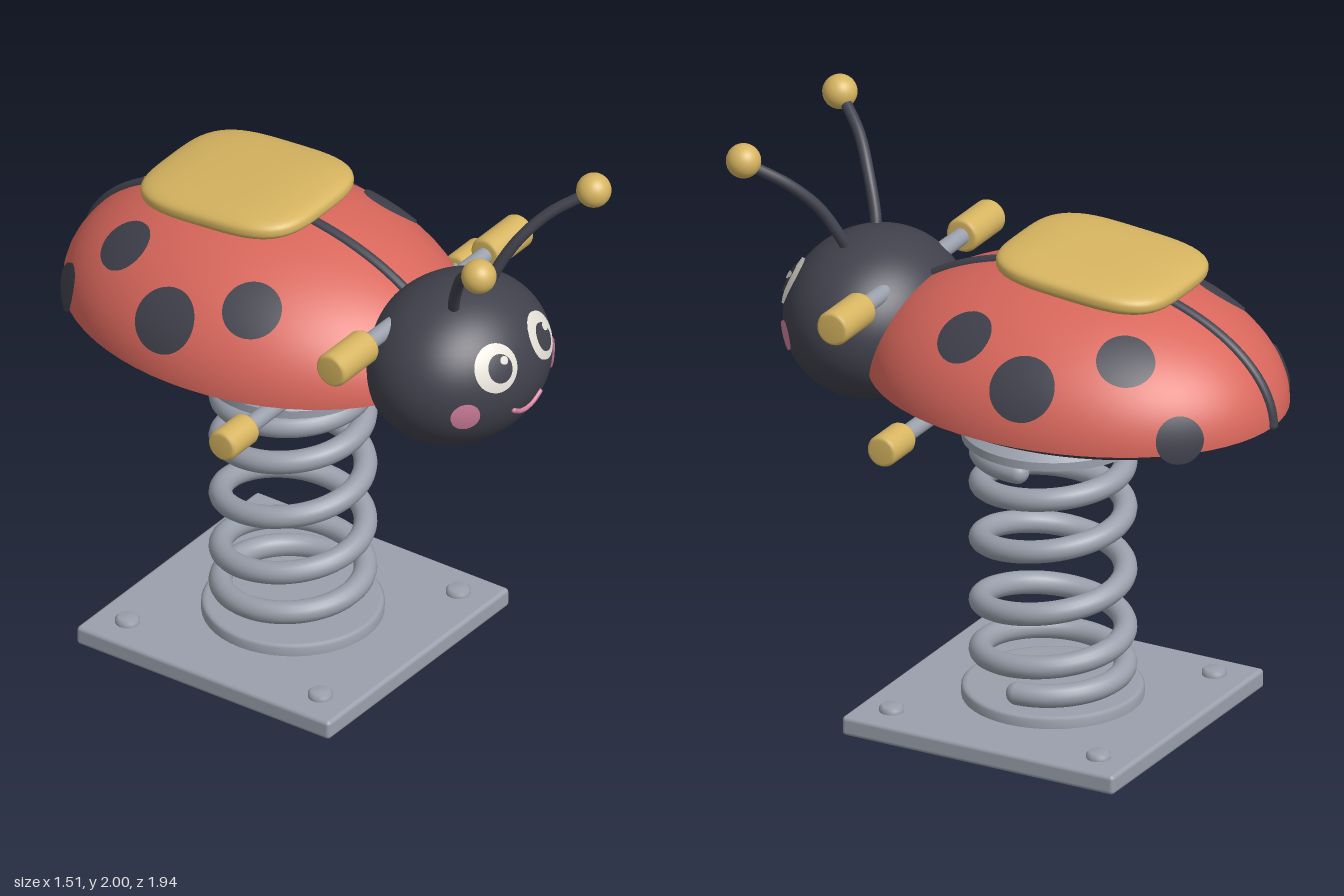
import * as THREE from 'three';
import { RoundedBoxGeometry } from 'three/addons/geometries/RoundedBoxGeometry.js';

const V = (x, y, z) => new THREE.Vector3(x, y, z);
const HEAD = { c: V(0, 1.33, 0.585), r: V(0.355, 0.29, 0.3) };
const SHELL = { c: V(0, 1.23, -0.2), r: V(0.58, 0.43, 0.75) };
const BELLY = { c: V(0, 1.23, -0.2), r: V(0.53, 0.125, 0.71) };

function material(name, color, side = THREE.FrontSide) {
  const m = new THREE.MeshStandardMaterial({ color, side });
  m.name = name;
  return m;
}

// Point on an ellipsoid above a given x and y (front side), or beside a given y and z
const frontPoint = (e, x, y) => V(x, y, e.c.z + e.r.z *
  Math.sqrt(1 - ((x - e.c.x) / e.r.x) ** 2 - ((y - e.c.y) / e.r.y) ** 2));
const sidePoint = (e, side, y, z) => V(side * e.r.x *
  Math.sqrt(1 - ((y - e.c.y) / e.r.y) ** 2 - ((z - e.c.z) / e.r.z) ** 2), y, z);

const normalAt = (e, p) => p.clone().sub(e.c).divide(e.r).divide(e.r).normalize();

// Thin round plate that hugs an ellipsoid
function patch(e, p, rx, ry, lift = 0.007) {
  const n = normalAt(e, p);
  const t = V(0, 1, 0).cross(n).normalize();
  const b = n.clone().cross(t);
  const geo = new THREE.RingGeometry(0.0005, 1, 40, 4);
  const pos = geo.attributes.position;
  for (let i = 0; i < pos.count; i++) {
    const u = pos.getX(i), v = pos.getY(i), f = Math.hypot(u, v);
    const rim = f > 0.99;
    const k = rim ? 1 : 0.97 / 0.75;
    const q = p.clone().addScaledVector(t, u * k * rx).addScaledVector(b, v * k * ry).sub(e.c);
    q.divideScalar(q.clone().divide(e.r).length()).add(e.c);
    const qn = normalAt(e, q);
    q.addScaledVector(qn, rim ? lift - 0.009 : lift);
    pos.setXYZ(i, q.x, q.y, q.z);
    geo.attributes.normal.setXYZ(i, qn.x, qn.y, qn.z);
  }
  return geo;
}

const ellipsoid = (e, start = 0, length = Math.PI) =>
  new THREE.SphereGeometry(1, 64, 40, 0, Math.PI * 2, start, length)
    .scale(e.r.x, e.r.y, e.r.z).translate(e.c.x, e.c.y, e.c.z);

const tube = (points, r, segments = 40) =>
  new THREE.TubeGeometry(new THREE.CatmullRomCurve3(points), segments, r, 14);

const lathe = (pts) => new THREE.LatheGeometry(pts.map(([x, y]) => new THREE.Vector2(x, y)), 48);

// Rounded grip lying along x
function gripGeometry(x0, x1, r) {
  const h = (x1 - x0) / 2, b = 0.014;
  return lathe([[0, -h], [r - b, -h], [r - b * 0.3, -h + b * 0.3], [r, -h + b],
    [r, h - b], [r - b * 0.3, h - b * 0.3], [r - b, h], [0, h]])
    .rotateZ(-Math.PI / 2).translate((x0 + x1) / 2, 0, 0);
}

// Cushion: a sphere squared off into a soft slab
function cushionGeometry(a, h, c) {
  const geo = new THREE.SphereGeometry(1, 72, 40);
  const pos = geo.attributes.position;
  const n = 3.6, m = 2.8;
  for (let i = 0; i < pos.count; i++) {
    const x = pos.getX(i), y = pos.getY(i), z = pos.getZ(i);
    const flat = (Math.abs(x) ** n + Math.abs(z) ** n) ** (1 / n);
    const k = 1 / (flat ** m + Math.abs(y) ** m) ** (1 / m);
    pos.setXYZ(i, x * k * a, y * k * h, z * k * c);
  }
  geo.computeVertexNormals();
  return geo;
}

// Coil wound closer at both ends
class Coil extends THREE.Curve {
  getPoint(t, target = new THREE.Vector3()) {
    const s = 2 * t - 1, a = t * 5 * Math.PI * 2;
    const y = 0.5675 + 0.4075 * (0.25 * s + 0.75 * Math.sin(s * Math.PI / 2));
    return target.set(0.245 * Math.cos(a), y, -0.1 - 0.245 * Math.sin(a));
  }
}

export function createModel() {
  const model = new THREE.Group();
  model.name = 'springRider';
  const red = material('shell red', 0xd9675c);
  const dark = material('charcoal', 0x41414d, THREE.DoubleSide);
  const yellow = material('mustard yellow', 0xd6b460);
  const grey = material('steel grey', 0x9aa0ac);
  const white = material('eye white', 0xe6e2d8);
  const pink = material('cheek pink', 0xd07f9c);

  const add = (name, geo, mat, x = 0, y = 0, z = 0) => {
    const mesh = new THREE.Mesh(geo, mat);
    mesh.name = name;
    mesh.position.set(x, y, z);
    model.add(mesh);
    return mesh;
  };

  // Base plate with bolts and collar
  add('basePlate', new RoundedBoxGeometry(1.05, 0.07, 1.05, 3, 0.015), grey, 0, 0.035, -0.1);
  for (const x of [-0.4, 0.4]) for (const z of [-0.5, 0.3]) {
    add('bolt', lathe([[0.042, 0], [0.042, 0.014], [0.032, 0.023], [0, 0.024]]), grey, x, 0.07, z);
  }
  add('lowerCollar', lathe([[0.31, 0], [0.31, 0.03], [0.302, 0.038], [0.29, 0.04], [0, 0.04]]),
    grey, 0, 0.07, -0.1);

  // Spring with rounded ends, and the mount above it
  const coil = new Coil();
  add('spring', new THREE.TubeGeometry(coil, 320, 0.04, 16), grey);
  for (const t of [0, 1]) {
    const p = coil.getPoint(t);
    add('springEnd', new THREE.SphereGeometry(0.04, 16, 12), grey, p.x, p.y, p.z);
  }
  add('upperMountSide', new THREE.CylinderGeometry(0.31, 0.31, 0.03, 48), grey, 0, 1.035, -0.1);
  add('upperMountCone', new THREE.CylinderGeometry(0.21, 0.31, 0.08, 48), grey, 0, 1.09, -0.1);

  // Body
  add('shell', ellipsoid(SHELL, 0, Math.PI / 2), red);
  add('shellUnderside', new THREE.CircleGeometry(1, 64).rotateX(Math.PI / 2)
    .scale(SHELL.r.x, 1, SHELL.r.z), red, 0, SHELL.c.y, SHELL.c.z);
  add('belly', ellipsoid(BELLY, Math.PI / 2, Math.PI / 2), dark);

  // Seam along the back
  const seam = [];
  for (let i = 0; i <= 24; i++) {
    const a = 0.6 + (Math.PI - 0.62) * i / 24;
    seam.push(V(0, SHELL.c.y + 0.426 * Math.sin(a), SHELL.c.z + 0.748 * Math.cos(a)));
  }
  add('seam', tube(seam, 0.02, 64), dark);
  add('seamEnd', new THREE.SphereGeometry(0.02, 14, 10), dark, ...seam[24].toArray());

  // Seat
  const seat = add('seat', cushionGeometry(0.283, 0.057, 0.33), yellow, 0, 1.69, -0.29);
  seat.rotation.x = -0.08;

  // Head
  add('head', ellipsoid(HEAD), dark);
  const smile = [-0.075, -0.04, 0, 0.04, 0.075].map((x) =>
    frontPoint(HEAD, x, 1.227 + 5 * x * x).add(V(0, 0, 0.003)));
  add('mouth', tube(smile, 0.009), pink);
  for (const p of [smile[0], smile[4]]) {
    add('mouthCorner', new THREE.SphereGeometry(0.009, 12, 8), pink, p.x, p.y, p.z);
  }

  const spots = [[1.51, 0.02, 0.105], [1.42, -0.267, 0.12], [1.515, -0.567, 0.102], [1.278, -0.79, 0.085]];
  for (const s of [-1, 1]) {
    // Shell spots
    for (const [y, z, r] of spots) {
      add('spot', patch(SHELL, sidePoint(SHELL, s, y, z), r, r), dark);
    }

    // Face
    add('eyeWhite', patch(HEAD, frontPoint(HEAD, s * 0.132, 1.44), 0.085, 0.089, 0.008), white);
    add('pupil', patch(HEAD, frontPoint(HEAD, s * 0.123, 1.437), 0.046, 0.05, 0.014), dark);
    add('eyeGlint', patch(HEAD, frontPoint(HEAD, s * 0.123 + 0.02, 1.458), 0.014, 0.014, 0.019), white);
    add('cheek', patch(HEAD, frontPoint(HEAD, s * 0.25, 1.29), 0.052, 0.052), pink);

    // Antennae
    add('antenna', tube([V(s * 0.09, 1.56, 0.635), V(s * 0.115, 1.62, 0.65), V(s * 0.17, 1.745, 0.708),
      V(s * 0.245, 1.845, 0.785), V(s * 0.33, 1.93, 0.9)], 0.02), dark);
    add('antennaBall', new THREE.SphereGeometry(0.06, 28, 20), yellow, s * 0.333, 1.94, 0.91);

    // Hand and foot grips
    const handGrip = add('handGrip', gripGeometry(0.345, 0.552, 0.061), yellow, 0, 1.5, 0.448);
    const footGrip = add('footGrip', gripGeometry(0.605, 0.757, 0.056), yellow, 0, 1.192, 0.143);
    handGrip.rotation.y = footGrip.rotation.y = s > 0 ? 0 : Math.PI;
  }

  // Bars behind the grips
  add('handleBar', new THREE.CylinderGeometry(0.03, 0.03, 0.8, 24).rotateZ(Math.PI / 2), grey, 0, 1.5, 0.448);
  add('footBar', new THREE.CylinderGeometry(0.03, 0.03, 1.3, 24).rotateZ(Math.PI / 2), grey, 0, 1.192, 0.143);

  return model;
}
